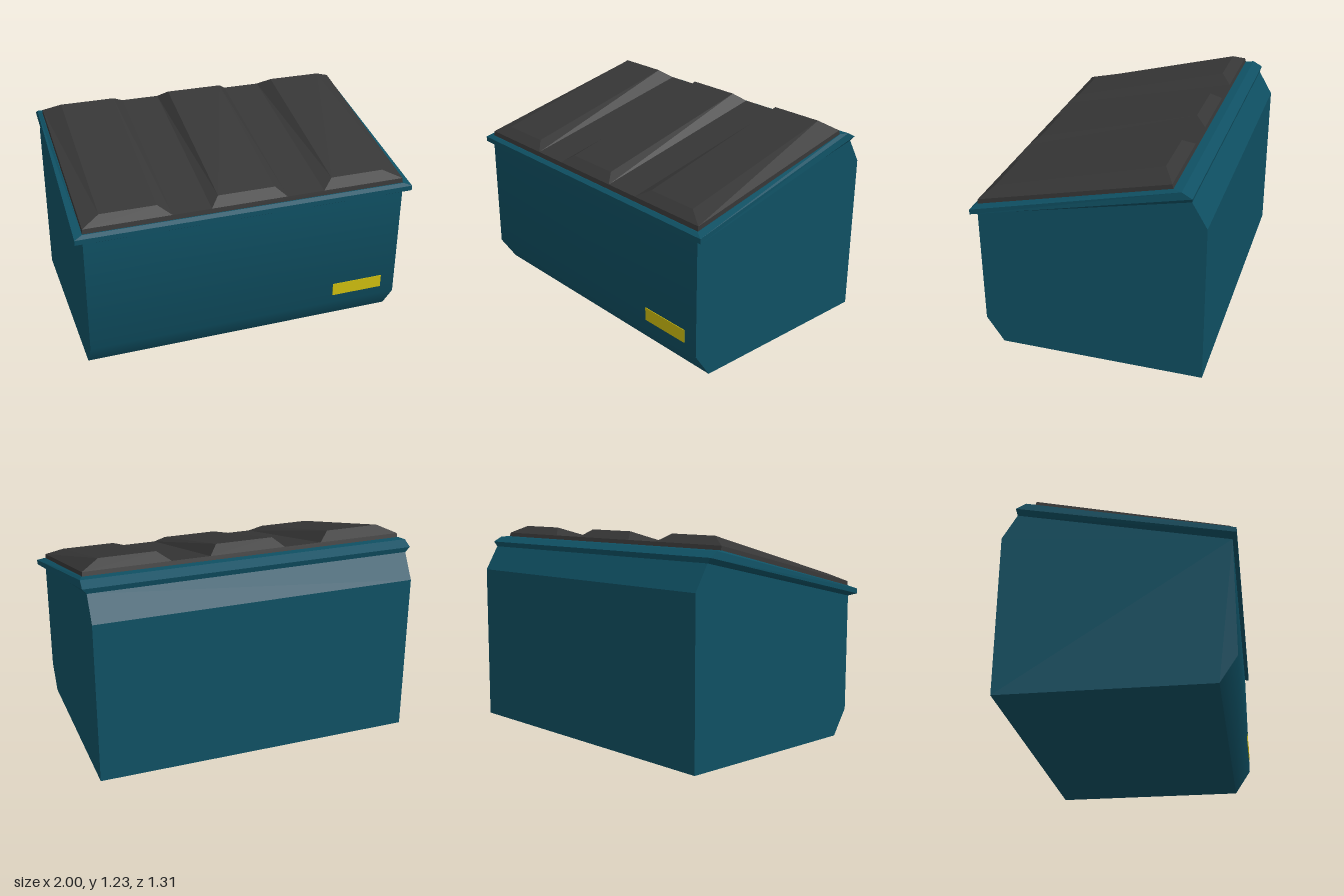
import * as THREE from 'three';

const mat = (name, color) => Object.assign(new THREE.MeshStandardMaterial({ color }), { name });

// Flat-faced solid through convex rings, each counter-clockwise seen from the last ring's side
function loft(rings) {
  const pos = [];
  const tri = (...pts) => pts.forEach((p) => pos.push(...p));
  const n = rings[0].length;
  for (let r = 0; r < rings.length - 1; r++) {
    for (let i = 0; i < n; i++) {
      const j = (i + 1) % n;
      const a = rings[r][i], b = rings[r][j], c = rings[r + 1][j], d = rings[r + 1][i];
      tri(a, b, c);
      tri(a, c, d);
    }
  }
  const first = rings[0], last = rings[rings.length - 1];
  for (let i = 1; i < n - 1; i++) {
    tri(first[0], first[i + 1], first[i]);
    tri(last[0], last[i], last[i + 1]);
  }
  const g = new THREE.BufferGeometry();
  g.setAttribute('position', new THREE.Float32BufferAttribute(pos, 3));
  g.computeVertexNormals();
  return g;
}

// Sloped four-cornered ring: front edge at [z, y], back edge at [z, y]
const slope = (x0, x1, [zf, yf], [zb, yb], inset = 0) => [
  [x0, yf, zf], [x1, yf, zf], [x1 - inset, yb, zb], [x0 + inset, yb, zb],
];

export function createModel() {
  const teal = mat('teal paint', 0x0f5063);
  const black = mat('dark plastic', 0x363636);
  const yellow = mat('yellow label', 0xcdbd0f);

  const model = new THREE.Group();
  model.name = 'dumpster';
  const add = (name, geometry, material, parent = model) => {
    const m = new THREE.Mesh(geometry, material);
    m.name = name;
    parent.add(m);
    return m;
  };

  // Container: side profile swept across the width
  const profile = [[0.63, 0.84], [0.63, 0.15], [0.53, 0], [-0.655, 0], [-0.655, 0.95], [-0.57, 1.095]];
  const body = loft([-0.953, 0.953].map((x) => profile.map(([z, y]) => [x, y, z])));
  // Soften the fold between the front wall and its lower bevel
  const p = body.attributes.position, nrm = body.attributes.normal;
  for (let i = 0; i < p.count; i++) {
    if (Math.abs(p.getY(i) - 0.15) < 0.001 && nrm.getZ(i) > 0.5) nrm.setXYZ(i, 0, -0.29, 0.957);
  }
  add('container', body, teal);

  // Flared rim, slightly narrower at the back
  add('rim', loft([
    slope(-0.953, 0.953, [0.63, 0.838], [-0.57, 1.095]),
    slope(-1, 1, [0.655, 0.853], [-0.577, 1.125], 0.022),
    slope(-1, 1, [0.655, 0.882], [-0.52, 1.156], 0.025),
    slope(-0.955, 0.955, [0.632, 0.897], [-0.472, 1.157]),
  ]), teal);

  // Lid: thin slab with three raised panels
  const lid = new THREE.Group();
  lid.name = 'lid';
  model.add(lid);
  const front = [0.623, 0.925], back = [-0.465, 1.18];
  add('lidSlab', loft([
    slope(-0.952, 0.952, [0.628, 0.895], [-0.472, 1.155]),
    slope(-0.95, 0.95, front, back),
  ]), black, lid);
  const panels = [
    ['rightPanel', -0.95, 0.95 - 1.4, -0.845, -0.52],
    ['middlePanel', -0.225, 0.225, -0.17, 0.17],
    ['leftPanel', 0.45, 0.95, 0.52, 0.845],
  ];
  for (const [name, b0, b1, t0, t1] of panels) {
    add(name, loft([
      slope(b0, b1, front, back),
      slope(t0, t1, [0.563, 0.968], [-0.403, 1.225]),
    ]), black, lid);
  }

  // Label plate on the front wall
  add('label', new THREE.BoxGeometry(0.32, 0.078, 0.008), yellow).position.set(0.702, 0.24, 0.63);

  return model;
}
